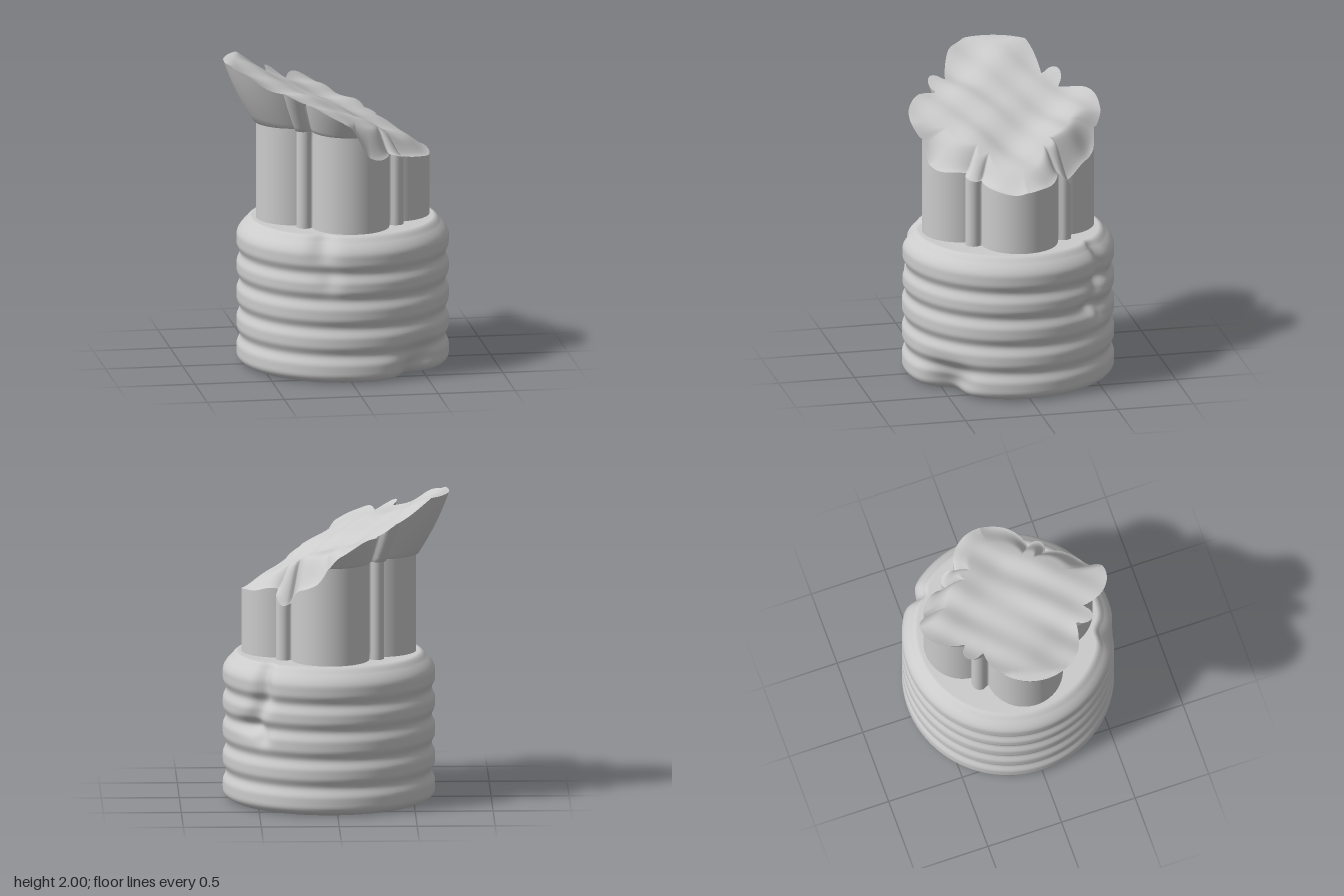
import * as THREE from 'three';

const CX = 0.04;         // axis of the pillar
const CAPITAL_Y = 1.6;   // where the flared capital starts
const SEG = 360;
const smooth = THREE.MathUtils.smoothstep;
const gauss = (d, w) => Math.exp(-(d * d) / (w * w));

// Closed surface around the axis: point(angle, v) with v from 0 to 1
function wrapSurface(name, rows, point, material) {
  const pos = [], index = [];
  for (let j = 0; j <= rows; j++)
    for (let i = 0; i < SEG; i++) pos.push(...point((i / SEG) * Math.PI * 2, j / rows));
  for (let j = 0; j < rows; j++)
    for (let i = 0; i < SEG; i++) {
      const a = j * SEG + i, b = j * SEG + ((i + 1) % SEG);
      index.push(a, a + SEG, b, b, a + SEG, b + SEG);
    }
  const g = new THREE.BufferGeometry();
  g.setAttribute('position', new THREE.Float32BufferAttribute(pos, 3));
  g.setIndex(index);
  g.computeVertexNormals();
  const mesh = new THREE.Mesh(g, material);
  mesh.name = name;
  return mesh;
}

// Four big lobes on the axes, four slim columns between them
function outline(a) {
  let r = 0;
  for (let k = 0; k < 8; k++) {
    const [d, R] = k % 2 ? [0.417, 0.052] : [0.31, 0.25];
    const phi = a - (k * Math.PI) / 4;
    const q = R * R - (d * Math.sin(phi)) ** 2;
    if (q >= 0 && Math.cos(phi) > 0) r = Math.max(r, d * Math.cos(phi) + Math.sqrt(q));
  }
  return r;
}

// Widening of the capital above its lower edge
function flare(y) {
  const d = y - CAPITAL_Y;
  return d <= 0 ? 1 : 1.03 + 1.15 * d - 0.7 * d * d;
}

// Height of the slanted, broken surface; t is 0 at the axis and 1 at the rim
function breakHeight(x, z, a, t) {
  const ripple =
    0.016 * Math.sin(7 * x + 4 * z + 1) + 0.014 * Math.sin(9 * z - 5 * x) +
    0.010 * Math.sin(15 * x + 2) * Math.cos(13 * z) + 0.006 * Math.sin(23 * z + 17 * x);
  const back = Math.atan2(Math.sin(a + 0.9), Math.cos(a + 0.9));
  const drop = 0.02 + 0.13 * Math.abs(Math.sin(a)) + 0.13 * gauss(back, 0.2);
  const hollow = -0.03 * gauss(Math.hypot(x - 0.1, z - 0.05), 0.25);
  return Math.min(2, 1.69 - 0.45 * x + ripple + hollow - drop * smooth(x, -0.02, 0.14) * smooth(t, 0.72, 1));
}

// Rim of the break at an angle: radius and height where wall meets break
function rim(a) {
  const r0 = outline(a);
  let y = 1.6, r = r0;
  for (let k = 0; k < 14; k++) {
    r = r0 * flare(y);
    y = breakHeight(CX + r * Math.cos(a), r * Math.sin(a), a, 1);
  }
  return { r: r0 * flare(y), y };
}

const at = (a, r, y) => [CX + r * Math.cos(a), y, r * Math.sin(a)];

function createBase(material) {
  // Ribbed profile: rounded foot, bulging bands, rounded shoulder
  const grooves = [0.18, 0.36, 0.545, 0.72];
  const profile = [[0.0001, 0], [0.3, 0], [0.55, 0], [0.62, 0], [0.635, 0.006]];
  for (let i = 1; i <= 72; i++) {
    const y = 0.006 + (0.924 * i) / 72;
    const nearest = Math.min(...grooves.map((g) => Math.abs(y - g)));
    let r = 0.681 - 0.022 * (1 - smooth(nearest, 0, 0.065));
    r -= 0.045 * (1 - Math.min(1, y / 0.06)) ** 2;
    if (y > 0.84) r -= 0.06 * ((y - 0.84) / 0.09) ** 1.7;
    profile.push([r, y]);
  }
  profile.push([0.611, 0.945], [0.595, 0.957], [0.58, 0.96], [0.4, 0.96], [0.0001, 0.96]);
  const g = new THREE.LatheGeometry(profile.map((p) => new THREE.Vector2(...p)), 192);

  // Chips: angle, height, angular width, vertical width, depth, lean
  const chips = [
    [0.90, 0.02, 0.22, 0.15, 0.11, 0],
    [0.72, 0.12, 0.14, 0.08, 0.03, 0],
    [1.93, 0.90, 0.12, 0.14, 0.045, 0.1],
    [1.85, 0.68, 0.10, 0.08, 0.02, 0],
    [-0.86, 0.86, 0.08, 0.13, 0.05, 0.2],
    [-0.80, 0.66, 0.10, 0.12, 0.05, -0.5],
    [-0.70, 0.55, 0.18, 0.05, 0.035, 0],
    [-0.86, 0.49, 0.08, 0.05, 0.03, 0],
  ];
  const p = g.attributes.position;
  for (let i = 0; i < p.count; i++) {
    const x = p.getX(i), y = p.getY(i), z = p.getZ(i), r = Math.hypot(x, z);
    if (r < 0.5) continue;
    const a = Math.atan2(z, x);
    let depth = 0;
    for (const [ca, cy, wa, wy, d, lean] of chips) {
      const dy = y - cy;
      depth += d * gauss(Math.hypot((a - ca - lean * dy) / wa, dy / wy), 1);
    }
    const s = (r - depth) / r;
    p.setXYZ(i, x * s, y, z * s);
  }
  g.computeVertexNormals();
  // Match the normals of the lathe seam
  const n = g.attributes.normal, rows = profile.length;
  for (let j = 0; j < rows; j++) {
    const e = 192 * rows + j;
    const v = new THREE.Vector3().fromBufferAttribute(n, j)
      .add(new THREE.Vector3().fromBufferAttribute(n, e)).normalize();
    n.setXYZ(j, v.x, v.y, v.z);
    n.setXYZ(e, v.x, v.y, v.z);
  }
  const mesh = new THREE.Mesh(g, material);
  mesh.name = 'ribbedBase';
  mesh.position.x = CX;
  return mesh;
}

export function createModel() {
  const material = new THREE.MeshStandardMaterial({ color: 0xcccccc, side: THREE.DoubleSide });
  const group = new THREE.Group();
  group.name = 'brokenPillar';
  group.add(createBase(material));

  // Clustered shaft, cut off by the break on its low side
  group.add(wrapSurface('clusteredShaft', 10, (a, v) => {
    const top = Math.min(CAPITAL_Y, rim(a).y);
    return at(a, outline(a), 0.95 + (top - 0.95) * v);
  }, material));

  // Flared capital left on the high side; first row is the small ledge
  group.add(wrapSurface('flaredCapital', 9, (a, v) => {
    const top = rim(a).y;
    if (top <= CAPITAL_Y) return at(a, outline(a), top);
    const k = Math.max(0, (v * 9 - 1) / 8);
    const y = CAPITAL_Y + (top - CAPITAL_Y) * k;
    return at(a, outline(a) * (v === 0 ? 1 : flare(y + 1e-6)), y);
  }, material));

  // Rough slanted break surface
  group.add(wrapSurface('brokenTop', 32, (a, v) => {
    const t = 1 - v, e = rim(a);
    if (v === 0) return at(a, e.r, e.y);
    const [x, , z] = at(a, e.r * t, 0);
    return [x, breakHeight(x, z, a, t), z];
  }, material));

  return group;
}
